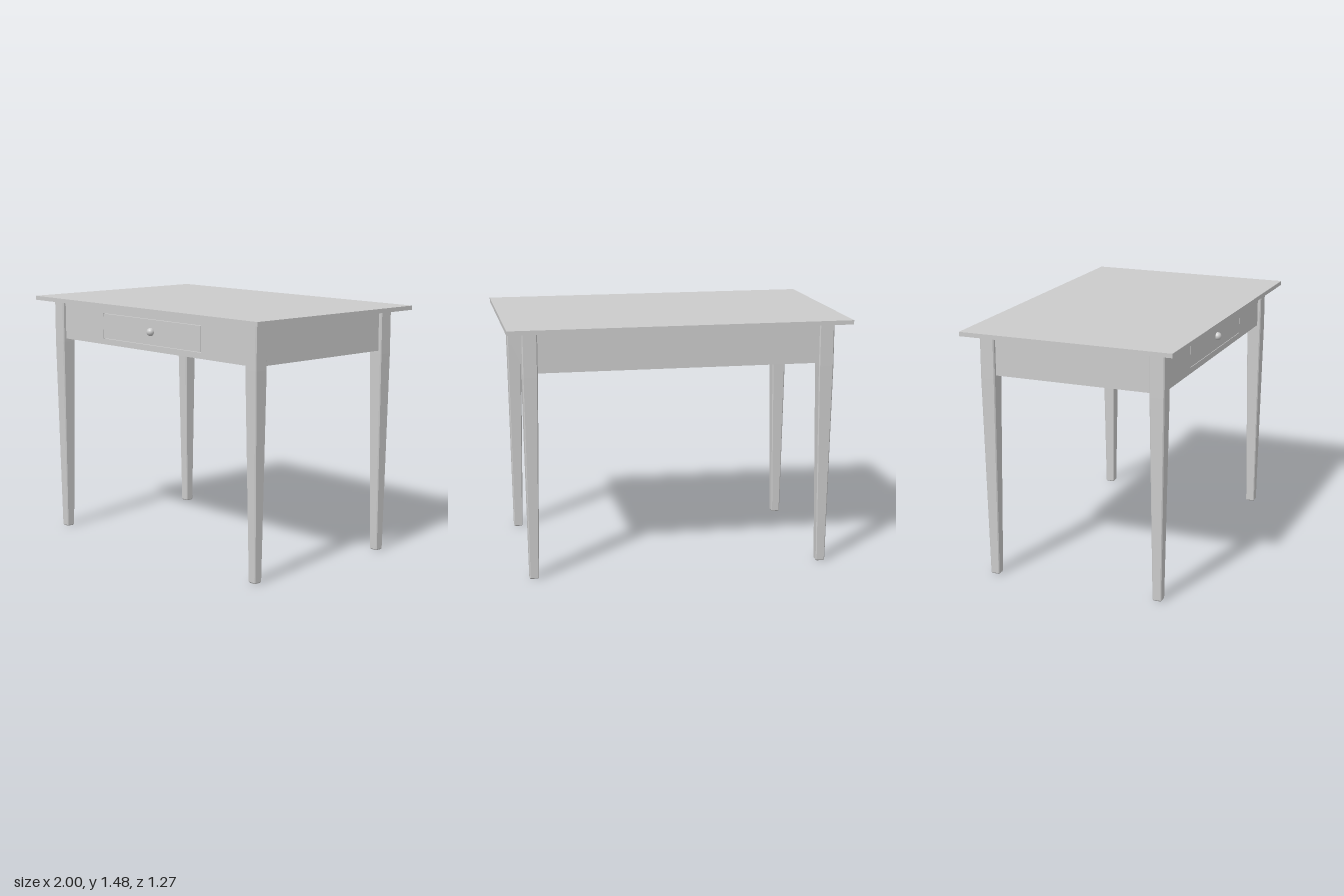
import * as THREE from 'three';

const material = new THREE.MeshStandardMaterial({ color: 0xcccccc });

function addMesh(parent, name, geometry, x = 0, y = 0, z = 0) {
  const mesh = new THREE.Mesh(geometry, material);
  mesh.name = name;
  mesh.position.set(x, y, z);
  parent.add(mesh);
  return mesh;
}

// Box given by its lower and upper corners
function addBox(parent, name, [x0, y0, z0], [x1, y1, z1]) {
  return addMesh(parent, name, new THREE.BoxGeometry(x1 - x0, y1 - y0, z1 - z0),
    (x0 + x1) / 2, (y0 + y1) / 2, (z0 + z1) / 2);
}

function rectangle(PathType, x0, y0, x1, y1) {
  const path = new PathType();
  path.moveTo(x0, y0);
  path.lineTo(x1, y0);
  path.lineTo(x1, y1);
  path.lineTo(x0, y1);
  path.closePath();
  return path;
}

// Square leg with chamfered edges: sections of [height, half width, chamfer]
function legGeometry(sections) {
  const rings = sections.map(([y, h, c]) => {
    const k = h - c;
    return [[h, k], [k, h], [-k, h], [-h, k], [-h, -k], [-k, -h], [k, -h], [h, -k]]
      .map(([x, z]) => [x, y, z]);
  });
  const points = [];
  for (let r = 0; r < rings.length - 1; r++) {
    const low = rings[r], high = rings[r + 1];
    for (let i = 0; i < 8; i++) {
      const j = (i + 1) % 8;
      points.push(low[i], high[i], high[j], low[i], high[j], low[j]);
    }
  }
  const bottom = rings[0], top = rings[rings.length - 1];
  for (let i = 1; i < 7; i++) {
    points.push(bottom[0], bottom[i], bottom[i + 1]);
    points.push(top[0], top[i + 1], top[i]);
  }
  const geometry = new THREE.BufferGeometry();
  geometry.setAttribute('position', new THREE.Float32BufferAttribute(points.flat(), 3));
  geometry.computeVertexNormals();
  return geometry;
}

export function createModel() {
  const table = new THREE.Group();
  table.name = 'table';

  const underTop = 1.458, apronLow = 1.22;
  const legX = 0.866, legZ = 0.512, legHalf = 0.044;
  const apronX = 0.89, apronZ = 0.535, thick = 0.045;
  const innerX = legX - legHalf, innerZ = legZ - legHalf;

  // Table top
  addBox(table, 'tableTop', [-1, underTop, -0.635], [1, 1.483, 0.635]);

  // Four tapered legs, straight beside the aprons
  const leg = legGeometry([
    [0, 0.023, 0.005], [0.006, 0.027, 0.005], [1.2, legHalf, 0.006], [underTop, legHalf, 0.006],
  ]);
  for (const sx of [-1, 1]) for (const sz of [-1, 1]) {
    addMesh(table, `${sz > 0 ? 'front' : 'back'}${sx > 0 ? 'Left' : 'Right'}Leg`,
      leg, sx * legX, 0, sz * legZ);
  }

  // Side and back aprons
  addBox(table, 'leftApron', [apronX - thick, apronLow, -innerZ], [apronX, underTop, innerZ]);
  addBox(table, 'rightApron', [-apronX, apronLow, -innerZ], [thick - apronX, underTop, innerZ]);
  addBox(table, 'backApron', [-innerX, apronLow, -apronZ], [innerX, underTop, thick - apronZ]);

  // Front apron with an opening for the drawer
  const front = rectangle(THREE.Shape, -innerX, apronLow, innerX, underTop);
  front.holes.push(rectangle(THREE.Path, -0.443, 1.255, 0.443, 1.41));
  addMesh(table, 'frontApron',
    new THREE.ExtrudeGeometry(front, { depth: thick, bevelEnabled: false }), 0, 0, apronZ - thick);

  // Drawer: flush front, box behind it and round knob
  const drawer = new THREE.Group();
  drawer.name = 'drawer';
  table.add(drawer);
  addBox(drawer, 'drawerFront', [-0.44, 1.258, apronZ - thick], [0.44, 1.407, apronZ]);
  addBox(drawer, 'drawerBox', [-0.465, 1.25, -0.25], [0.465, 1.42, apronZ - thick]);
  addMesh(drawer, 'knob', new THREE.SphereGeometry(0.024, 24, 16), 0.01, 1.335, 0.541);

  return table;
}
